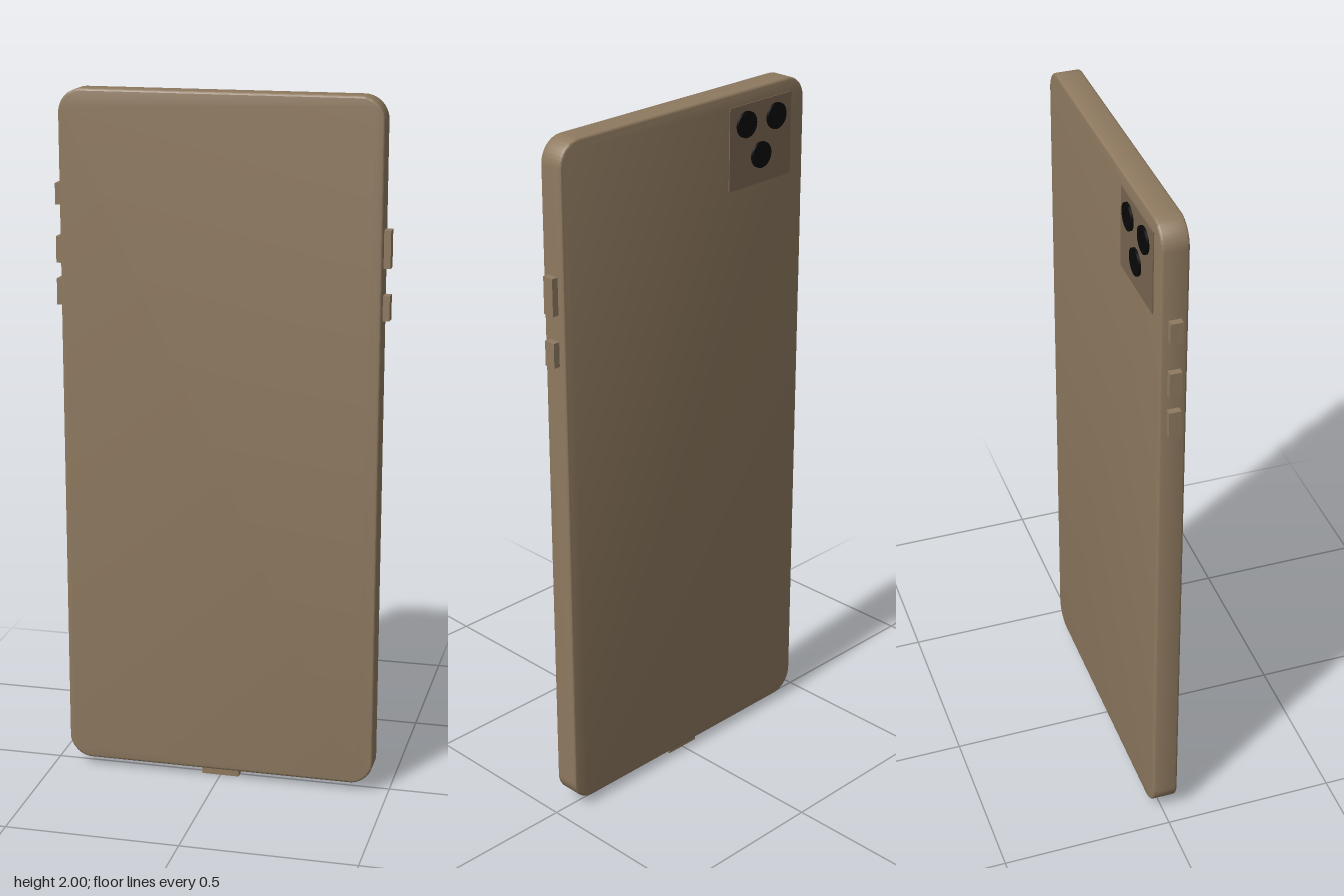
import * as THREE from 'three';
import { toCreasedNormals } from 'three/addons/utils/BufferGeometryUtils.js';

const shellMat = new THREE.MeshStandardMaterial({ color: 0x8f7a60 });
const plateMat = new THREE.MeshStandardMaterial({ color: 0x786650 });
const lensMat = new THREE.MeshStandardMaterial({ color: 0x080808 });

// Rounded rectangle centred on the origin
function roundedRect(w, h, r) {
  const x = w / 2, y = h / 2;
  const s = new THREE.Shape();
  s.moveTo(-x + r, -y);
  s.lineTo(x - r, -y);
  s.absarc(x - r, -y + r, r, -Math.PI / 2, 0);
  s.lineTo(x, y - r);
  s.absarc(x - r, y - r, r, 0, Math.PI / 2);
  s.lineTo(-x + r, y);
  s.absarc(-x + r, y - r, r, Math.PI / 2, Math.PI);
  s.lineTo(-x, -y + r);
  s.absarc(-x + r, -y + r, r, Math.PI, Math.PI * 1.5);
  return s;
}

export function createModel() {
  const model = new THREE.Group();
  model.name = 'phone';

  function add(name, geometry, material, x, y, z) {
    const mesh = new THREE.Mesh(geometry, material);
    mesh.name = name;
    mesh.position.set(x, y, z);
    model.add(mesh);
    return mesh;
  }

  // Body slab with rounded corners and softened rims
  const bottom = 0.025, top = 2, back = -0.034, front = 0.04, bevel = 0.006;
  const slab = new THREE.ExtrudeGeometry(
    roundedRect(0.91 - 2 * bevel, top - bottom - 2 * bevel, 0.062),
    { depth: front - back - 2 * bevel, bevelThickness: bevel, bevelSize: bevel, bevelSegments: 3, curveSegments: 12 }
  );
  add('body', toCreasedNormals(slab, 0.6), shellMat, 0, (top + bottom) / 2, back + bevel);

  // Side buttons: [name, side, bottom, top]
  const buttons = [
    ['leftLongButton', 1, 1.535, 1.64],
    ['leftShortButton', 1, 1.39, 1.46],
    ['rightUpperButton', -1, 1.675, 1.735],
    ['rightMiddleButton', -1, 1.51, 1.585],
    ['rightLowerButton', -1, 1.39, 1.465],
  ];
  for (const [name, side, y0, y1] of buttons) {
    add(name, new THREE.BoxGeometry(0.034, y1 - y0, 0.034), shellMat, side * 0.457, (y0 + y1) / 2, 0.003);
  }

  // Charging plug under the lower edge
  add('chargingPort', new THREE.BoxGeometry(0.11, 0.034, 0.034), shellMat, 0, 0.017, 0.003);

  // Camera plate and its three lenses on the back
  add('cameraPlate', new THREE.BoxGeometry(0.243, 0.235, 0.008), plateMat, -0.279, 1.843, -0.033);
  for (const [x, y] of [[-0.338, 1.905], [-0.22, 1.905], [-0.279, 1.807]]) {
    const lens = add('cameraLens', new THREE.CylinderGeometry(0.037, 0.037, 0.009, 32), lensMat, x, y, -0.0395);
    lens.rotation.x = Math.PI / 2;
  }

  return model;
}
